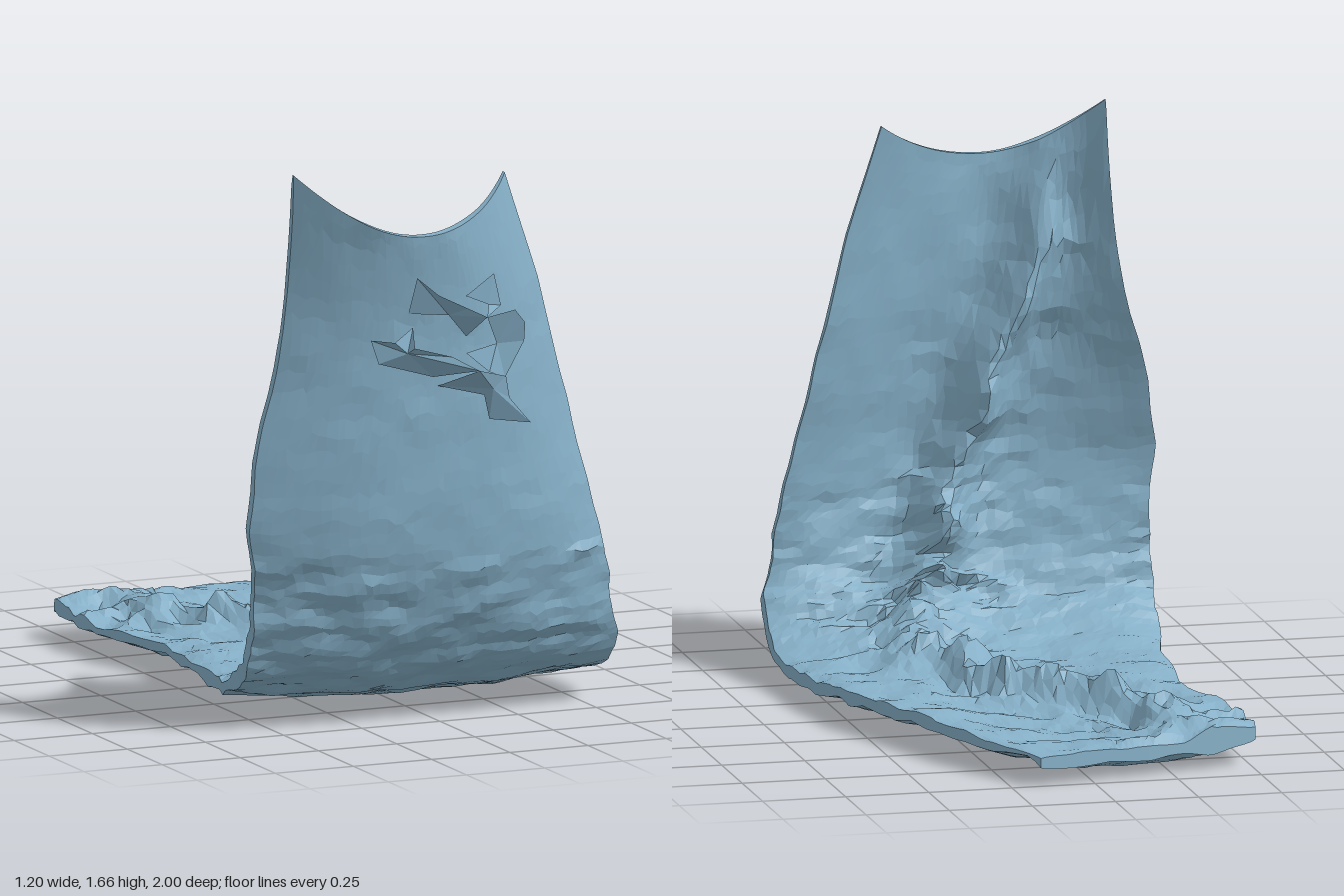
import * as THREE from 'three';

const NU = 40, NV = 84;

// Stations from the floor's back end, round the bend, to the top of the wall:
// z, y, left x, right x, edge curl (-x), edge curl (+x), thickness, ridge x, ridge height
const stations = [
  [-0.93, 0.04, -0.52, 0.16, 0.04, 0.03, 0.05, -0.30, 0.00],
  [-0.72, 0.015, -0.53, 0.28, 0.06, 0.06, 0.06, -0.32, 0.05],
  [-0.45, 0.01, -0.53, 0.40, 0.06, 0.07, 0.06, -0.25, 0.10],
  [-0.20, 0.02, -0.47, 0.48, 0.05, 0.06, 0.06, -0.05, 0.10],
  [0.05, 0.02, -0.49, 0.54, 0.05, 0.05, 0.07, 0.10, 0.12],
  [0.30, 0.02, -0.52, 0.575, 0.04, 0.03, 0.07, 0.18, 0.09],
  [0.50, 0.05, -0.56, 0.59, 0.04, 0.02, 0.08, 0.17, 0.09],
  [0.67, 0.13, -0.575, 0.59, 0.05, 0.02, 0.08, 0.12, 0.10],
  [0.77, 0.25, -0.575, 0.57, 0.08, 0.04, 0.07, 0.06, 0.12],
  [0.83, 0.42, -0.58, 0.53, 0.11, 0.08, 0.06, 0.00, 0.17],
  [0.86, 0.62, -0.595, 0.49, 0.13, 0.12, 0.05, -0.03, 0.18],
  [0.865, 0.90, -0.555, 0.42, 0.15, 0.14, 0.05, -0.12, 0.16],
  [0.86, 1.20, -0.485, 0.345, 0.15, 0.15, 0.04, -0.24, 0.09],
  [0.88, 1.48, -0.445, 0.225, 0.17, 0.17, 0.03, -0.30, 0.00],
];

// Smooth interpolation of every station column
function station(v) {
  const n = stations.length - 1;
  const i = Math.min(Math.floor(v * n), n - 1), f = v * n - i;
  const row = k => stations[Math.max(0, Math.min(n, k))];
  return stations[0].map((_, c) => {
    const [a, b, d, e] = [row(i - 1)[c], row(i)[c], row(i + 1)[c], row(i + 2)[c]];
    return b + 0.5 * f * (d - a + f * (2 * a - 5 * b + 4 * d - e + f * (3 * (b - d) + e - a)));
  });
}

// Seeded value noise, range -1 to 1
function hash(i, j, seed) {
  const s = Math.sin(i * 127.1 + j * 311.7 + seed * 74.7) * 43758.5453;
  return (s - Math.floor(s)) * 2 - 1;
}
function noise(x, y, seed) {
  const i = Math.floor(x), j = Math.floor(y), f = x - i, g = y - j;
  const a = THREE.MathUtils.lerp(hash(i, j, seed), hash(i + 1, j, seed), f);
  const b = THREE.MathUtils.lerp(hash(i, j + 1, seed), hash(i + 1, j + 1, seed), f);
  return THREE.MathUtils.lerp(a, b, g);
}

// Point on the outer (inner = false) or inner skin
function skinPoint(iu, iv, inner) {
  const seed = inner ? 5 : 2;
  const freeU = iu > 0 && iu < NU, freeV = iv > 0 && iv < NV;
  const u = (iu + (freeU ? 0.3 * hash(iu, iv, seed) : 0)) / NU;
  const v = (iv + (freeV ? 0.3 * hash(iu, iv, seed + 1) : 0)) / NV;
  const [z, y, xl, xr, curlL, curlR, thick, ridgeX, ridgeH] = station(v);
  const a = station(Math.max(0, v - 0.005)), b = station(Math.min(1, v + 0.005));
  const tz = b[0] - a[0], ty = b[1] - a[1], len = Math.hypot(tz, ty);
  const nz = -ty / len, ny = tz / len;
  const w = 2 * u - 1;
  let x = THREE.MathUtils.lerp(xl, xr, u) + 0.012 * noise(v * 34, w > 0 ? 3.5 : 9.5, 8) * Math.abs(w);

  // Edge curl and thickness, plus general wrinkles
  let h = (w < 0 ? curlL : curlR) * Math.abs(w) ** 2.4;
  const crumple = v < 0.72 ? 1 : 0.35;
  h += crumple * (0.012 * noise(x * 7, v * 42, seed) + 0.007 * noise(x * 16, v * 70, seed + 3));
  if (inner) {
    h += thick * (1 - 0.5 * w ** 6);
    // Crumpled diagonal ridge along the inside
    const d = x - ridgeX - 0.05 * noise(v * 25, 1.5, 11);
    const fold = Math.exp(-((d / 0.075) ** 2));
    h += ridgeH * fold * (0.8 + 0.35 * noise(x * 14, v * 40, 12));
    const spread = Math.exp(-((d / 0.22) ** 2)) * (v < 0.6 ? 1 : 0.4);
    h += 0.035 * spread * (1 - 2 * Math.abs(noise(x * 10, v * 36, 14)));
  }
  // Skewed back end and raised top corners
  const back = Math.max(0, 1 - v * 6), top = Math.max(0, (y - 1.1) / 0.38) ** 2;
  const rise = top * w * w * (w < 0 ? 0.165 : 0.12);
  return [x, Math.max(0, y + ny * h + rise), z + nz * h - 0.07 * w * back];
}

// Closed two-skinned sheet built from cross-section loops
function sheetGeometry() {
  const pos = [], idx = [], M = 2 * (NU + 1);
  for (let iv = 0; iv <= NV; iv++) {
    for (let iu = 0; iu <= NU; iu++) pos.push(...skinPoint(iu, iv, false));
    for (let iu = NU; iu >= 0; iu--) pos.push(...skinPoint(iu, iv, true));
  }
  for (let iv = 0; iv < NV; iv++) {
    for (let k = 0; k < M; k++) {
      const a = iv * M + k, b = iv * M + (k + 1) % M;
      idx.push(a, b, b + M, a, b + M, a + M);
    }
  }
  // Close the two ends
  for (let k = 0; k < NU; k++) {
    const a = k, b = k + 1, c = M - 2 - k, d = M - 1 - k, e = NV * M;
    idx.push(a, c, b, a, d, c, e + a, e + b, e + c, e + a, e + c, e + d);
  }
  return faceted(pos, idx);
}

function faceted(pos, idx) {
  const g = new THREE.BufferGeometry();
  g.setAttribute('position', new THREE.Float32BufferAttribute(pos, 3));
  g.setIndex(idx);
  g.computeVertexNormals();
  return g;
}

// Torn flaps: each is a triangle fan about its first point
const flaps = {
  upperFlap: [[-0.03, 1.24, 0.88], [-0.15, 1.25, 0.86], [-0.135, 1.36, 0.89], [-0.08, 1.31, 0.92],
    [0.0, 1.27, 0.95], [0.04, 1.25, 1.0], [0.03, 1.17, 0.87]],
  tipFlap: [[0.08, 1.27, 0.92], [0.03, 1.29, 0.87], [0.11, 1.355, 0.89], [0.11, 1.27, 0.94], [0.04, 1.25, 1.0]],
  rightFlap: [[0.11, 1.15, 0.91], [0.04, 1.25, 1.0], [0.16, 1.25, 0.93], [0.21, 1.20, 0.89],
    [0.22, 1.14, 0.86], [0.15, 1.04, 0.88], [0.06, 1.08, 0.97], [0.03, 1.12, 0.87]],
  leftFlap: [[-0.17, 1.14, 0.90], [-0.27, 1.18, 0.86], [-0.22, 1.18, 0.92], [-0.14, 1.21, 0.87],
    [-0.16, 1.16, 0.93], [-0.05, 1.13, 0.95], [0.02, 1.09, 0.99], [-0.08, 1.06, 0.88],
    [-0.25, 1.11, 0.87], [-0.27, 1.18, 0.86]],
  lowerFlap: [[0.09, 1.02, 0.93], [0.02, 1.09, 0.99], [0.14, 1.05, 0.91], [0.16, 0.98, 0.89],
    [0.25, 0.89, 0.84], [0.10, 0.92, 0.88], [0.07, 1.0, 0.91], [-0.06, 1.03, 0.87], [0.02, 1.09, 0.99]],
};

export function createModel() {
  const group = new THREE.Group();
  group.name = 'crumpledSheet';
  const material = new THREE.MeshStandardMaterial({ color: 0x86b0c8, flatShading: true, side: THREE.DoubleSide });

  const add = (name, geometry) => {
    const mesh = new THREE.Mesh(geometry, material);
    mesh.name = name;
    group.add(mesh);
  };
  add('foldedSheet', sheetGeometry());
  for (const [name, points] of Object.entries(flaps)) {
    const idx = [];
    for (let i = 1; i < points.length - 1; i++) idx.push(0, i + 1, i);
    add(name, faceted(points.flat(), idx));
  }
  return group;
}
